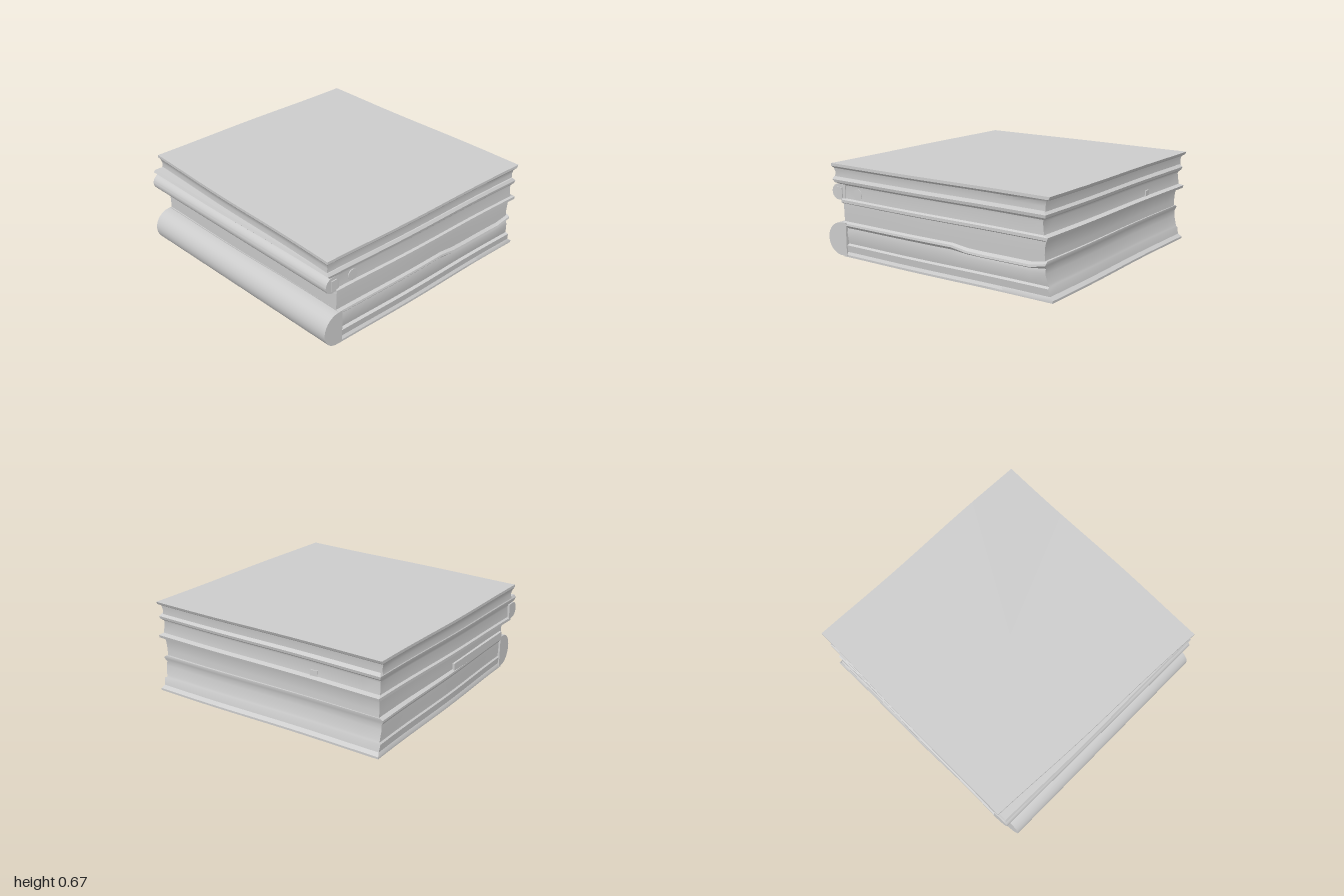
import * as THREE from 'three';
import { toCreasedNormals } from 'three/addons/utils/BufferGeometryUtils.js';

const SEG = 14; // subdivisions along each side of a book

// Skin a book from stacked outlines.
// corners: front-left, front-right, back-right, back-left as [x, z]
// rows: [y, left inset, front inset, right inset, back inset, front dip]
function loftBook(corners, rows) {
  const pos = [], idx = [], n = SEG * 4;
  for (const [y, l, f, r, b, dip = 0] of rows) {
    const c = corners.map(([x, z], i) => [
      x + (i === 0 || i === 3 ? l : -r), z + (i < 2 ? -f : b)]);
    for (let s = 0; s < 4; s++) {
      const p = c[s], q = c[(s + 1) % 4];
      for (let k = 0; k < SEG; k++) {
        const t = k / SEG;
        // worn, gently wavy edges
        const w = 0.008 * Math.sin(t * Math.PI) * Math.sin(t * 5 + s);
        const x = p[0] + (q[0] - p[0]) * t + (s % 2 ? w : 0);
        const z = p[1] + (q[1] - p[1]) * t + (s % 2 ? 0 : w);
        const drop = s === 0 ? dip * THREE.MathUtils.smoothstep(x, 0.12, 0.3) : 0;
        pos.push(x, y - drop, z);
      }
    }
  }
  for (let j = 0; j < rows.length - 1; j++) for (let k = 0; k < n; k++) {
    const a = j * n + k, b = j * n + (k + 1) % n;
    idx.push(a, b, b + n, a, b + n, a + n);
  }
  // closed underside and top
  const last = (rows.length - 1) * n;
  [0, last].forEach((start, top) => {
    const centre = pos.length / 3;
    const y = rows[top ? rows.length - 1 : 0][0];
    pos.push(0, y, 0);
    for (let k = 0; k < n; k++) {
      const a = start + k, b = start + (k + 1) % n;
      if (top) idx.push(centre, a, b); else idx.push(centre, b, a);
    }
  });
  const g = new THREE.BufferGeometry();
  g.setAttribute('position', new THREE.Float32BufferAttribute(pos, 3));
  g.setIndex(idx);
  return toCreasedNormals(g, 0.5);
}

// Rounded spine swept from the front-left corner to the back-left corner
function spineGeometry(front, back, y0, y1, depth) {
  const h = y1 - y0, r = Math.min(depth * 0.95, h / 2);
  const s = new THREE.Shape();
  s.moveTo(0.03, y0);
  s.lineTo(0.03, y1);
  s.lineTo(-depth + r, y1);
  s.bezierCurveTo(-depth + r * 0.4, y1, -depth, y1 - r * 0.5, -depth, y0 + h / 2);
  s.bezierCurveTo(-depth, y0 + r * 0.5, -depth + r * 0.4, y0, -depth + r, y0);
  const g = new THREE.ExtrudeGeometry(s, { depth: 1, bevelEnabled: false, curveSegments: 10 });
  const p = g.attributes.position;
  for (let i = 0; i < p.count; i++) {
    const t = p.getZ(i);
    p.setX(i, p.getX(i) + back[0] + (front[0] - back[0]) * t);
    p.setZ(i, back[1] + (front[1] - back[1]) * t);
  }
  return toCreasedNormals(g, 0.6);
}

export function createModel() {
  const model = new THREE.Group();
  const grey = new THREE.MeshStandardMaterial({ color: 0xcccccc });
  grey.name = 'stone grey';
  const add = (name, geometry, x = 0, y = 0, z = 0, ry = 0) => {
    const m = new THREE.Mesh(geometry, grey);
    m.name = name;
    m.position.set(x, y, z);
    m.rotation.y = ry;
    model.add(m);
    return m;
  };

  // Lower book: boards, page groove and a flared fore edge
  add('lowerBook', loftBook(
    [[-0.86, 0.89], [0.92, 0.985], [0.985, -0.87], [-0.79, -0.92]], [
      [0.005, 0, 0, 0, 0],
      [0.02, 0, 0, 0, 0],
      [0.04, 0, 0.012, 0.025, 0.01],
      [0.09, 0, 0.005, 0.035, 0.005],
      [0.1, 0, 0.025, 0.04, 0.015],
      [0.115, 0, 0.022, 0.045, 0.015],
      [0.18, 0, 0.012, 0.06, 0.012],
      [0.215, 0, 0.018, 0.06, 0.012, 0.015],
      [0.235, 0, 0, 0.055, 0, 0.025],
      [0.25, 0, 0.003, 0.05, 0, 0.025],
      [0.262, 0, 0.02, 0.05, 0.02, 0.02]]));
  add('lowerSpine', spineGeometry([-0.86, 0.895], [-0.79, -0.92], 0.012, 0.255, 0.132));

  // Second book: recessed pages
  add('secondBookPages', loftBook(
    [[-0.86, 0.89], [0.9, 0.985], [0.975, -0.86], [-0.78, -0.93]], [
      [0.24, 0, 0.022, 0.045, 0.02],
      [0.3, 0, 0.02, 0.05, 0.02],
      [0.36, 0, 0.018, 0.045, 0.018],
      [0.395, 0, 0.018, 0.035, 0.015]]));

  // Third book: thin projecting boards around its pages
  const third = [[-0.87, 0.885], [0.89, 1], [0.985, -0.87], [-0.78, -0.98]];
  add('thirdBook', loftBook(third, [
    [0.39, 0, 0.018, 0.03, 0.015],
    [0.4, 0, 0, 0.005, 0],
    [0.42, 0, 0, 0, 0],
    [0.43, 0, 0.016, 0.035, 0.012],
    [0.51, 0, 0.02, 0.045, 0.015],
    [0.525, 0, 0.018, 0.04, 0.012],
    [0.54, -0.06, 0.004, 0.02, 0.004],
    [0.56, -0.08, 0, 0.015, 0],
    [0.58, -0.07, 0.012, 0.035, 0.01]]));
  add('thirdSpine', spineGeometry([-0.87, 0.875], [-0.78, -0.98], 0.415, 0.53, 0.09));

  // Top book: slightly pinched pages below a wide cover
  add('topBook', loftBook(
    [[-0.955, 0.885], [0.9, 0.995], [0.99, -0.89], [-0.8, -0.99]], [
      [0.57, 0.015, 0.018, 0.04, 0.015],
      [0.61, 0.02, 0.02, 0.04, 0.018],
      [0.64, 0.012, 0.014, 0.035, 0.01],
      [0.655, 0, 0, 0.01, 0],
      [0.675, 0, 0, 0, 0]]));

  // Small worn marks and clasps
  const tilt = -0.06;
  add('spineEndPlate', new THREE.BoxGeometry(0.05, 0.075, 0.008), -0.89, 0.47, 0.878, tilt);
  const disc = new THREE.CylinderGeometry(0.04, 0.04, 0.008, 18);
  disc.rotateX(Math.PI / 2);
  add('pageMark', disc, -0.72, 0.47, 0.878, tilt);
  add('foreEdgeMark', new THREE.BoxGeometry(0.008, 0.04, 0.055), 0.92, 0.45, -0.35, 0.045);
  add('backBoardTab', new THREE.BoxGeometry(0.75, 0.06, 0.02), -0.38, 0.275, -0.905, -0.035);
  return model;
}
